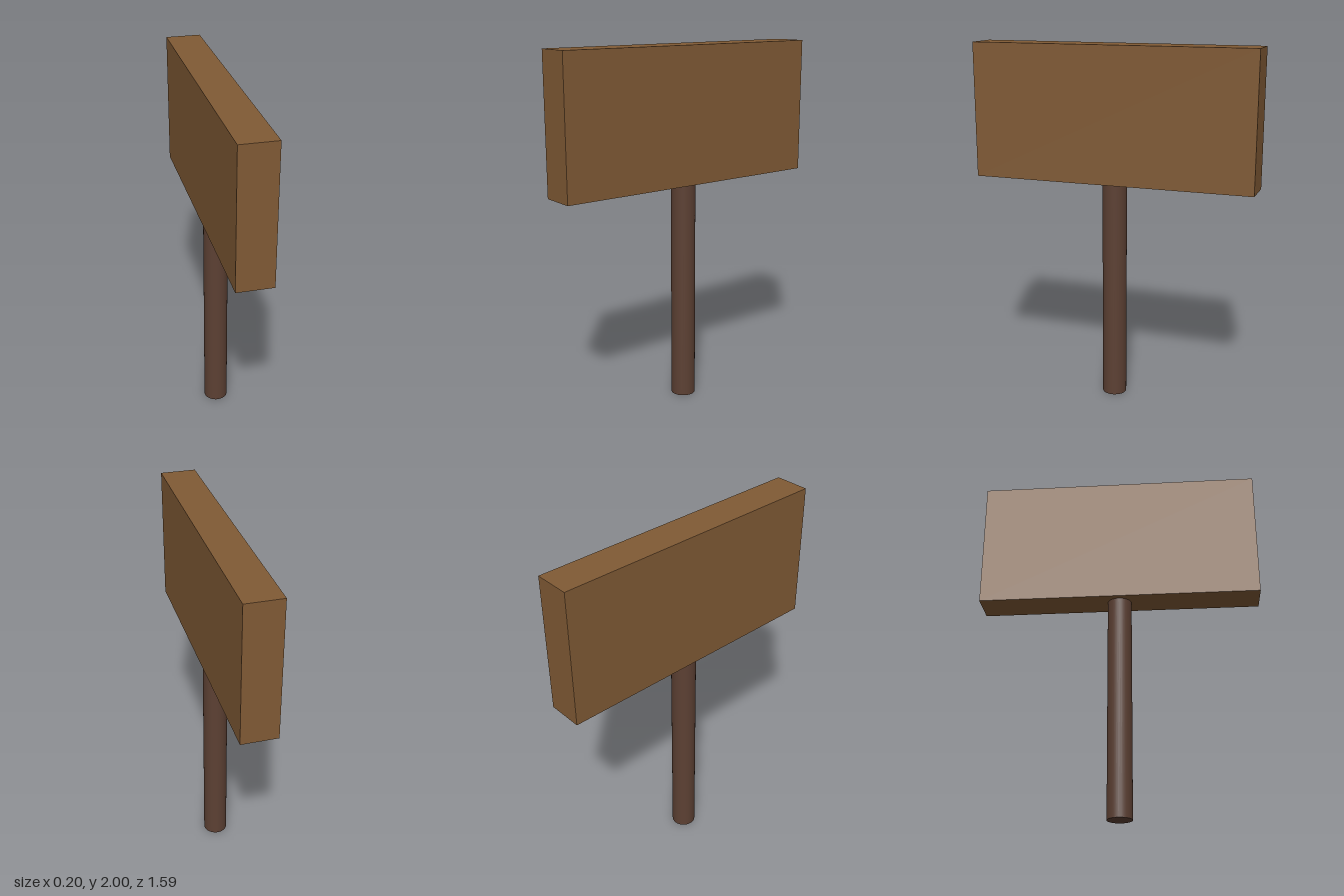
import * as THREE from 'three';

const BOARD = { width: 0.196, height: 0.75, length: 1.587 };
const POST = { radius: 0.068, height: 1.25 };

function addPart(group, name, geometry, color, y) {
  const mesh = new THREE.Mesh(geometry, new THREE.MeshStandardMaterial({ color }));
  mesh.name = name;
  mesh.position.y = y;
  group.add(mesh);
}

export function createModel() {
  const model = new THREE.Group();
  model.name = 'signpost';

  // Round post standing on the ground
  addPart(model, 'post',
    new THREE.CylinderGeometry(POST.radius, POST.radius, POST.height, 32),
    0x5c4033, POST.height / 2);

  // Thick board resting on the post, running front to back
  addPart(model, 'signBoard',
    new THREE.BoxGeometry(BOARD.width, BOARD.height, BOARD.length),
    0x805a35, POST.height + BOARD.height / 2);

  return model;
}
